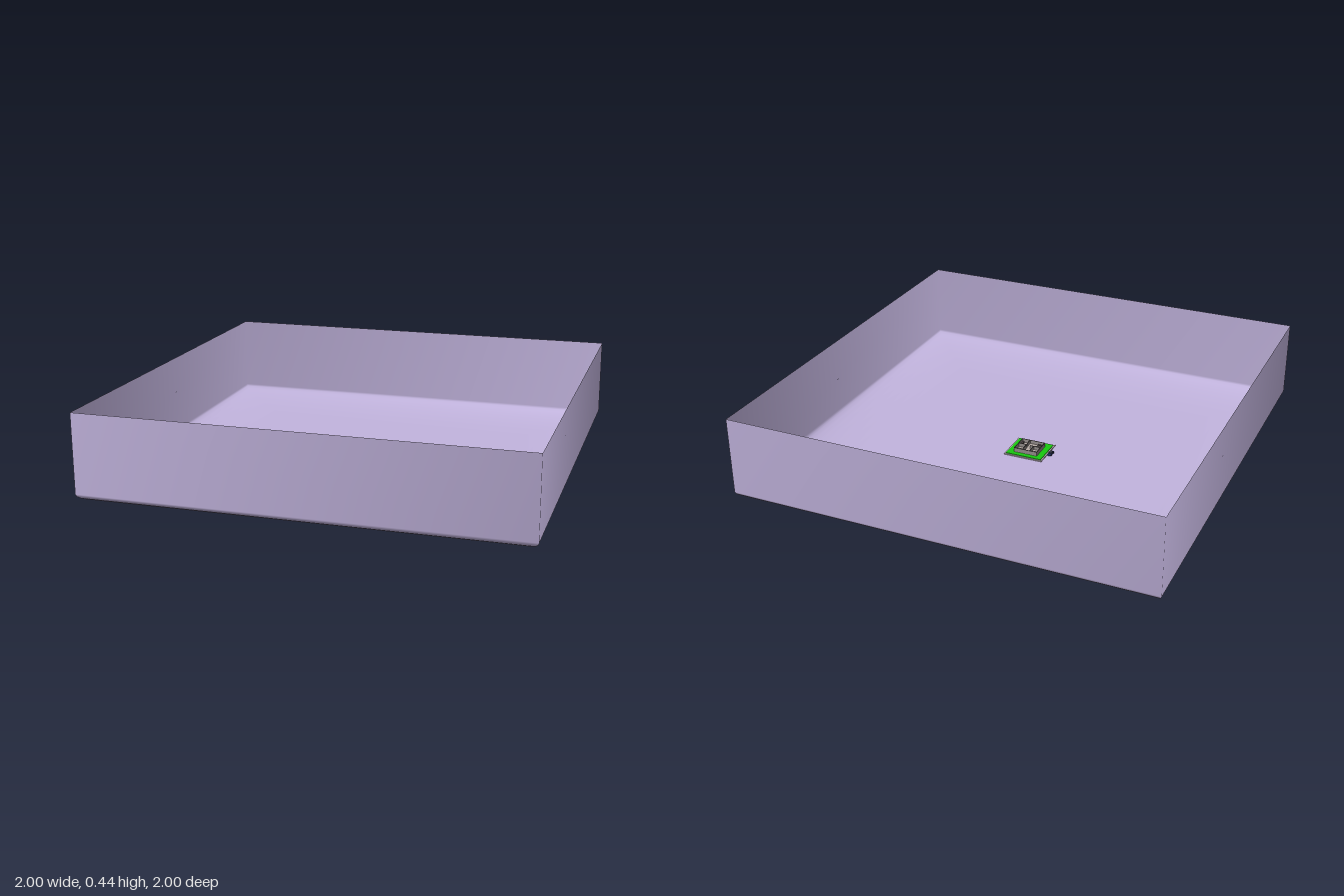
import * as THREE from 'three';

const mat = (color) => new THREE.MeshStandardMaterial({ color });

function box(parent, name, size, pos, material) {
  const mesh = new THREE.Mesh(new THREE.BoxGeometry(...size), material);
  mesh.position.set(...pos);
  mesh.name = name;
  parent.add(mesh);
  return mesh;
}

// Open square basin: a four-sided lathe with a rounded lower rim
function createBasin() {
  const profile = [[0, 0], [0.3, 0], [0.65, 0]];
  for (let i = 0; i <= 10; i++) {
    const a = (i / 10) * Math.PI / 2;
    profile.push([0.68 + 0.32 * Math.sin(a), 0.001 + 0.069 * (1 - Math.cos(a))]);
  }
  profile.push([1, 0.435]);
  const points = profile.map(([r, y]) => new THREE.Vector2(r * Math.SQRT2, y));
  const material = mat(0xc2b4de);
  material.side = THREE.DoubleSide;
  const basin = new THREE.Mesh(new THREE.LatheGeometry(points, 4, Math.PI / 4), material);
  basin.name = 'basin';
  return basin;
}

// Roofless house with rooms and simple furniture
function createHouse() {
  const house = new THREE.Group();
  house.name = 'house';
  const wall = mat(0x8c8684), floor = mat(0xb5aaa5), dark = mat(0x4a4244), light = mat(0xcccccc);
  const h = 0.02;
  box(house, 'houseFloor', [0.12, 0.003, 0.104], [0, 0.0015, 0], floor);

  // Walls: centre x, centre z, length x, length z
  const t = 0.003;
  const walls = [
    [0, -0.0505, 0.12, t], [0, 0.0505, 0.12, t],
    [-0.0585, 0, t, 0.104], [0.0585, 0, t, 0.104],
    [-0.03, 0, 0.056, t], [0.038, 0.002, 0.04, t],
    [-0.022, -0.025, t, 0.05], [0.016, -0.025, t, 0.05],
    [0.018, 0.033, t, 0.034],
  ];
  for (const [x, z, w, d] of walls) {
    box(house, 'wall', [w, h, d], [x, h / 2, z], wall);
    box(house, 'wallCap', [w, 0.001, d], [x, h + 0.0005, z], dark);
  }

  // Furniture: centre x, centre z, width, height, depth, material
  const furniture = [
    ['bed', -0.042, -0.034, 0.016, 0.006, 0.022, light],
    ['sofa', -0.04, 0.041, 0.026, 0.007, 0.009, dark],
    ['table', -0.03, 0.02, 0.014, 0.006, 0.01, light],
    ['desk', 0.002, -0.042, 0.02, 0.008, 0.009, dark],
    ['secondBed', 0.042, -0.034, 0.018, 0.006, 0.022, light],
    ['counter', 0.05, 0.026, 0.009, 0.009, 0.03, dark],
  ];
  for (const [name, x, z, w, fh, d, m] of furniture) {
    box(house, name, [w, fh, d], [x, 0.003 + fh / 2, z], m);
  }
  return house;
}

// Small car parked beside the plot
function createCar() {
  const car = new THREE.Group();
  car.name = 'car';
  const tyre = mat(0x1c1c20);
  box(car, 'carBody', [0.018, 0.006, 0.044], [0, 0.006, 0], mat(0x2c3c7c));
  box(car, 'carCabin', [0.015, 0.005, 0.022], [0, 0.0115, 0.002], mat(0x303444));
  for (const x of [-1, 1]) for (const z of [-1, 1]) {
    const wheel = new THREE.Mesh(new THREE.CylinderGeometry(0.004, 0.004, 0.003, 12), tyre);
    wheel.rotation.z = Math.PI / 2;
    wheel.position.set(x * 0.009, 0.004, z * 0.014);
    wheel.name = 'wheel';
    car.add(wheel);
  }
  return car;
}

export function createModel() {
  const model = new THREE.Group();
  model.name = 'plotInBasin';
  model.add(createBasin());

  // Paved plot with its lawn
  box(model, 'paving', [0.195, 0.004, 0.175], [0, 0.003, 0], mat(0xb0a8ac));
  box(model, 'lawn', [0.18, 0.003, 0.16], [0, 0.0065, 0], mat(0x18c810));

  const house = createHouse();
  house.position.set(0, 0.008, -0.003);
  model.add(house);

  const car = createCar();
  car.position.set(-0.11, 0.001, 0);
  model.add(car);
  return model;
}
